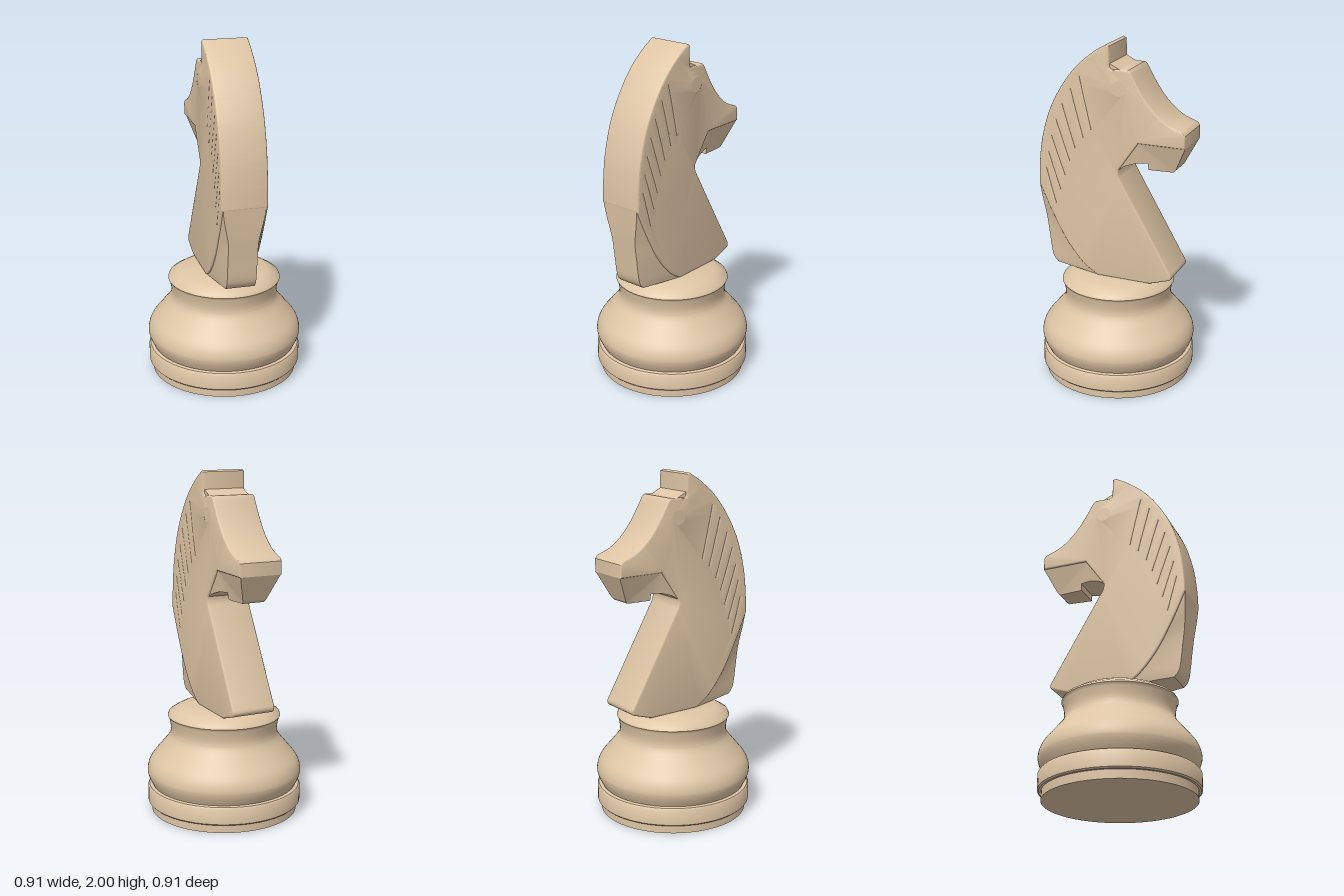
import * as THREE from 'three';
import { toCreasedNormals } from 'three/addons/utils/BufferGeometryUtils.js';

const HALF = 0.132; // half thickness of the head
const BEVEL = 0.01;
const INNER = HALF - BEVEL;

const v2 = (list) => list.map(([a, b]) => new THREE.Vector2(a, b));

export function createModel() {
  const model = new THREE.Group();
  const wood = new THREE.MeshStandardMaterial({ color: 0xdec5a5 });

  function add(name, geometry, crease = 0.6) {
    const mesh = new THREE.Mesh(toCreasedNormals(geometry, crease), wood);
    mesh.name = name;
    model.add(mesh);
    return mesh;
  }

  // Extrudes a side profile drawn as (forward, up), centred on x = 0; forward is -z
  function sideExtrude(shape, half, bevel = 0) {
    const geometry = new THREE.ExtrudeGeometry(shape, {
      depth: 2 * (half - bevel), curveSegments: 14, bevelEnabled: bevel > 0,
      bevelSize: bevel, bevelThickness: bevel, bevelOffset: -bevel, bevelSegments: 3,
    });
    return geometry.translate(0, 0, -(half - bevel)).rotateY(Math.PI / 2);
  }

  // Turned base: foot, rim band, swelling body and collar
  const foot = v2([[0, 0], [0.432, 0], [0.432, 0.05], [0.445, 0.05], [0.453, 0.058],
    [0.453, 0.145], [0.445, 0.157], [0.425, 0.16]]);
  const swell = new THREE.SplineCurve(v2([[0.425, 0.16], [0.447, 0.205], [0.455, 0.25], [0.435, 0.31],
    [0.375, 0.385], [0.325, 0.45], [0.314, 0.5], [0.325, 0.565]])).getPoints(40).slice(1);
  const collar = v2([[0.332, 0.575], [0.326, 0.588], [0.28, 0.616], [0.25, 0.63], [0, 0.63]]);
  add('base', new THREE.LatheGeometry([...foot, ...swell, ...collar], 72));

  // Head and neck profile
  const head = new THREE.Shape();
  head.moveTo(-0.445, 1.15);
  head.splineThru(v2([[-0.44, 1.28], [-0.42, 1.43], [-0.37, 1.6], [-0.29, 1.75],
    [-0.2, 1.865], [-0.1, 1.95], [-0.02, 2]]));
  head.lineTo(-0.003, 1.992);
  head.lineTo(0, 1.885);
  head.quadraticCurveTo(0, 1.865, 0.02, 1.865);
  head.lineTo(0.11, 1.868);
  head.lineTo(0.125, 1.855);
  head.splineThru(v2([[0.19, 1.745], [0.26, 1.655], [0.34, 1.59], [0.43, 1.553]]));
  head.lineTo(0.445, 1.535);
  head.lineTo(0.445, 1.46);
  head.lineTo(0.17, 1.46);
  head.lineTo(0.055, 1.295);
  head.quadraticCurveTo(0.05, 1.27, 0.06, 1.245);
  head.lineTo(0.375, 0.705);
  head.quadraticCurveTo(0.388, 0.68, 0.365, 0.665);
  head.lineTo(0.25, 0.628);
  head.lineTo(-0.08, 0.628);
  head.splineThru(v2([[-0.17, 0.69], [-0.27, 0.81], [-0.36, 0.97], [-0.445, 1.15]]));

  // Mane grooves and eye sockets, cut down to the inner core
  const tops = [[-0.185, 1.82], [-0.24, 1.745], [-0.295, 1.655], [-0.335, 1.56],
    [-0.365, 1.46], [-0.385, 1.36], [-0.4, 1.26]];
  const ends = [[-0.11, 1.5], [-0.16, 1.45], [-0.21, 1.38], [-0.245, 1.3],
    [-0.275, 1.21], [-0.305, 1.12], [-0.335, 1.03]];
  tops.forEach(([ax, ay], i) => {
    const [bx, by] = ends[i];
    const groove = new THREE.Path();
    groove.absellipse((ax + bx) / 2, (ay + by) / 2, Math.hypot(bx - ax, by - ay) / 2, 0.003,
      0, Math.PI * 2, true, Math.atan2(by - ay, bx - ax));
    head.holes.push(groove);
  });
  const eye = [0.055, 1.76];
  const socket = new THREE.Path();
  socket.absarc(eye[0], eye[1], 0.053, 0, Math.PI * 2, true);
  head.holes.push(socket);
  add('head', sideExtrude(head, HALF, BEVEL));

  // Core forming the floor of the grooves and sockets
  const core = new THREE.Shape(v2([[-0.42, 1.2], [-0.36, 1.55], [-0.22, 1.8], [-0.05, 1.92],
    [0.11, 1.84], [0.14, 1.76], [0.13, 1.68], [0, 1.3], [-0.3, 0.97], [-0.38, 1.05]]));
  add('core', sideExtrude(core, INNER));

  // Eyes
  for (const side of [-1, 1]) {
    const pupil = add(side > 0 ? 'leftEye' : 'rightEye',
      new THREE.CylinderGeometry(0.044, 0.05, 0.012, 32));
    pupil.rotation.z = -side * Math.PI / 2;
    pupil.position.set(side * (INNER + 0.003), eye[1], -eye[0]);
  }

  // Lower jaw, narrowing away from the muzzle and cheek
  const jaw = sideExtrude(new THREE.Shape(v2([[0.17, 1.46], [0.055, 1.295], [0.09, 1.318], [0.15, 1.337],
    [0.215, 1.34], [0.215, 1.3], [0.36, 1.3], [0.375, 1.315], [0.445, 1.46]])), 1);
  const p = jaw.attributes.position;
  for (let i = 0; i < p.count; i++) {
    const f = -p.getZ(i), y = p.getY(i);
    const cheek = ((f - 0.17) * 0.165 - (y - 1.46) * 0.115) / 0.201;
    const drop = Math.max(0, Math.min(1.46 - y, cheek));
    p.setX(i, Math.sign(p.getX(i)) * (INNER - 0.35 * drop));
  }
  add('jaw', jaw, 0.3);

  // Back of the neck, ruled from the side curve in to a narrower spine
  const sideCurve = new THREE.SplineCurve(v2([[0.08, 0.628], [0.17, 0.69], [0.27, 0.81], [0.36, 0.97], [0.445, 1.15]]));
  const spine = new THREE.SplineCurve(v2([[0.355, 0.65], [0.388, 0.7], [0.41, 0.85], [0.43, 1], [0.445, 1.152]]));
  const verts = [], index = [], steps = 24;
  for (let i = 0; i <= steps; i++) {
    const t = i / steps, a = sideCurve.getPoint(t), b = spine.getPoint(t);
    const w = THREE.MathUtils.lerp(0.085, INNER, THREE.MathUtils.smoothstep(t, 0.6, 1));
    verts.push(INNER, a.y, a.x, w, b.y, b.x, -w, b.y, b.x, -INNER, a.y, a.x);
    if (i === steps) break;
    for (let k = 0; k < 3; k++) {
      const q = i * 4 + k;
      index.push(q, q + 4, q + 1, q + 1, q + 4, q + 5);
    }
  }
  index.push(0, 1, 2, 0, 2, 3);
  const nape = new THREE.BufferGeometry();
  nape.setAttribute('position', new THREE.Float32BufferAttribute(verts, 3));
  nape.setIndex(index);
  add('nape', nape, 0.4);

  return model;
}
